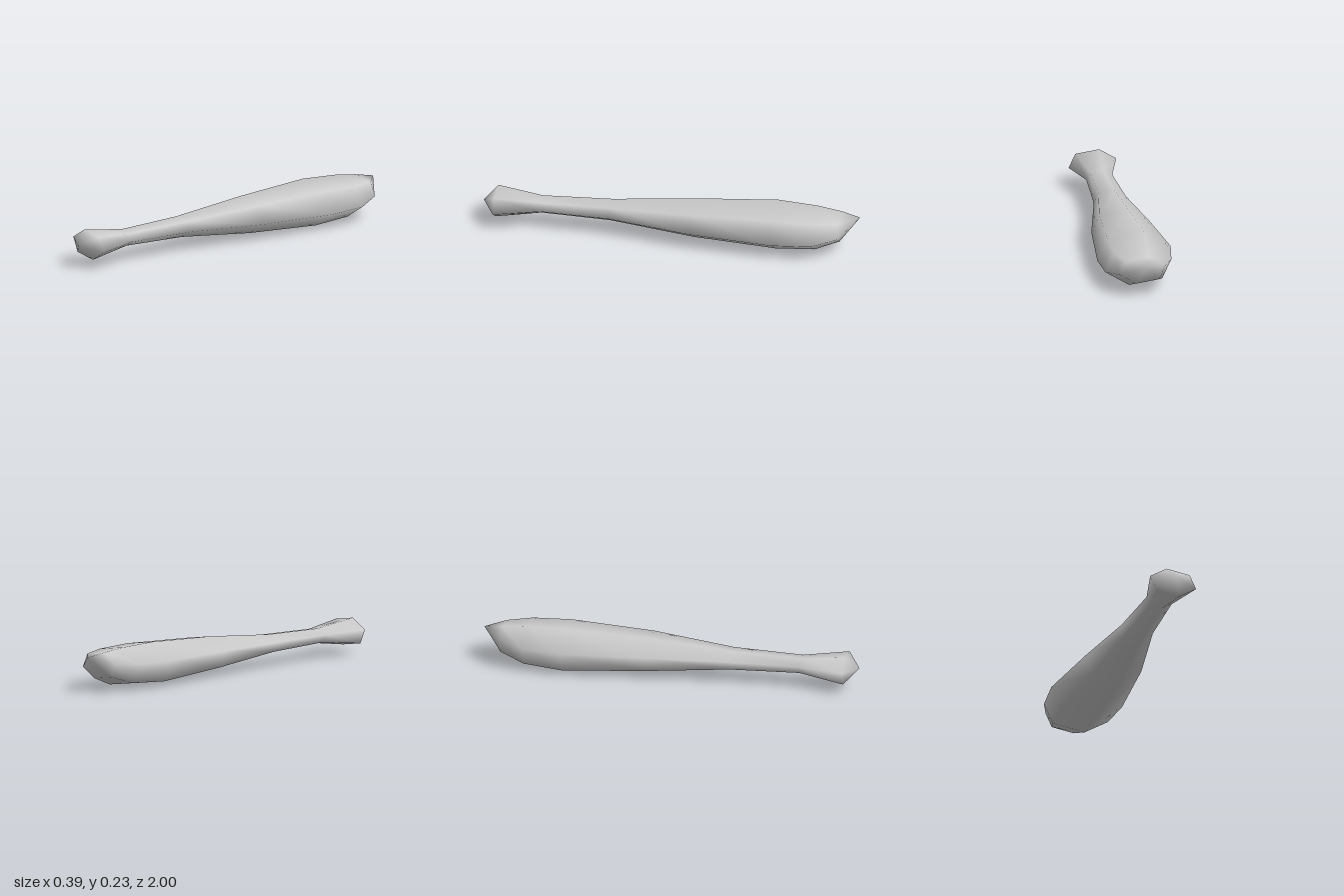
import * as THREE from 'three';

// Six-sided outline of the widest section, clockwise from the front, about its centre
const OUTLINE = [[-0.194, 0.031], [-0.055, 0.115], [0.14, 0.085], [0.194, -0.031], [0.055, -0.115], [-0.14, -0.085]];

// Sections from pommel to head: [z, scale, centre x, centre y]
const SECTIONS = [
  [0.93, 0.65, -0.003, 0.118],
  [0.69, 0.355, -0.003, 0.12],
  [0.32, 0.44, -0.004, 0.12],
  [-0.12, 0.79, 0.007, 0.119],
  [-0.56, 1, 0, 0.117],
  [-0.77, 0.9, 0.008, 0.12],
  [-0.9, 0.62, 0.005, 0.137],
];
const POMMEL_TIP = [0, 0.12, 1];
const HEAD_TIP = [-0.01, 0.19, -1];

function clubGeometry() {
  const n = OUTLINE.length;
  const points = [];
  const index = [];
  for (const [z, s, cx, cy] of SECTIONS) {
    for (const [x, y] of OUTLINE) points.push(cx + x * s, cy + y * s, z);
  }
  const front = SECTIONS.length * n;
  const back = front + 1;
  points.push(...POMMEL_TIP, ...HEAD_TIP);

  const last = (SECTIONS.length - 1) * n;
  for (let j = 0; j < n; j++) {
    const k = (j + 1) % n;
    // Skin between neighbouring sections
    for (let r = 0; r < last; r += n) {
      index.push(r + j, r + k, r + n + k, r + j, r + n + k, r + n + j);
    }
    // Pointed ends
    index.push(front, k, j);
    index.push(back, last + j, last + k);
  }

  const geometry = new THREE.BufferGeometry();
  geometry.setAttribute('position', new THREE.Float32BufferAttribute(points, 3));
  geometry.setIndex(index);
  geometry.computeVertexNormals();
  return geometry;
}

export function createModel() {
  const group = new THREE.Group();
  group.name = 'woodenClub';
  const club = new THREE.Mesh(clubGeometry(), new THREE.MeshStandardMaterial({ color: 0xcccccc }));
  club.name = 'clubBody';
  group.add(club);
  return group;
}
